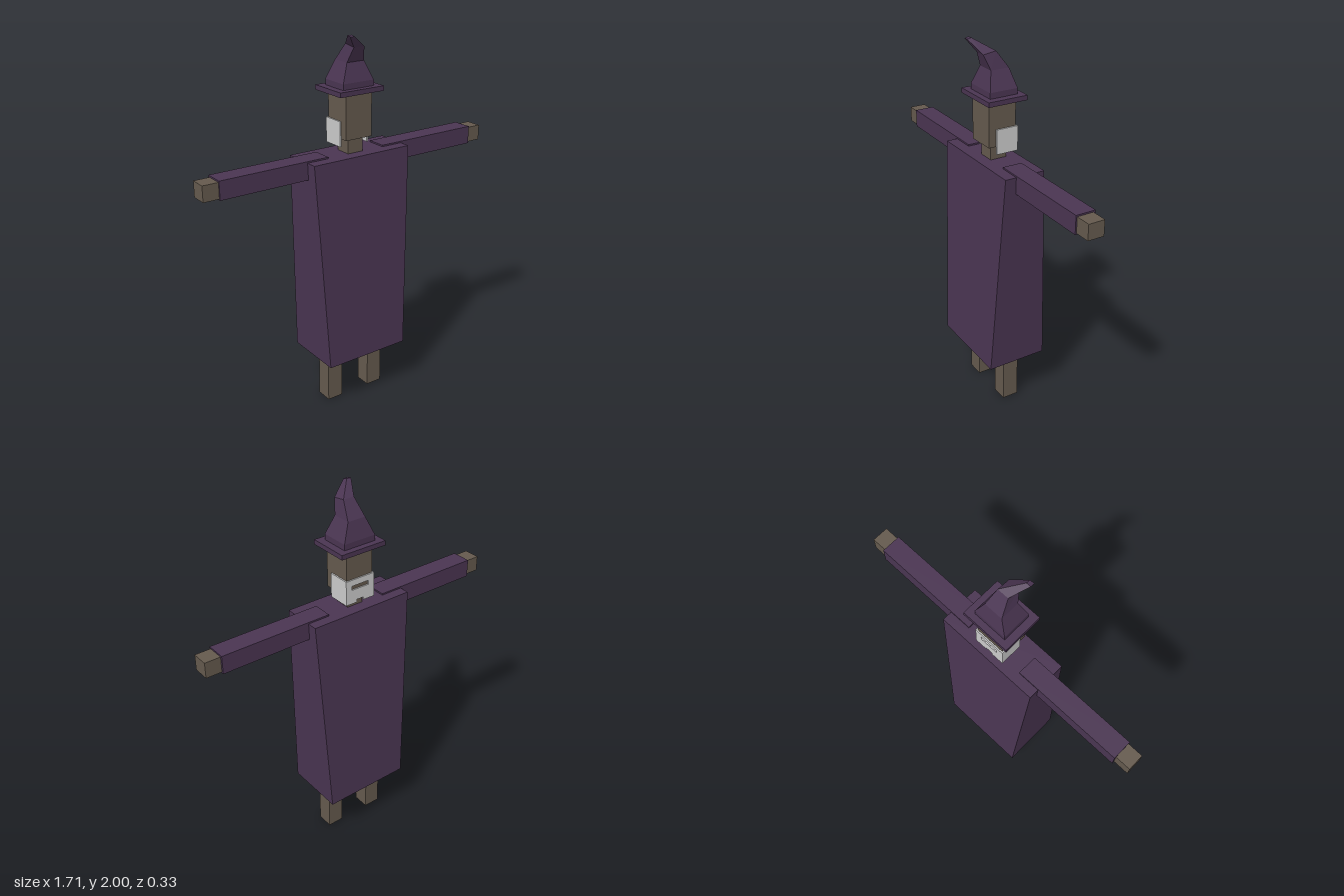
import * as THREE from 'three';

const material = (color) => new THREE.MeshStandardMaterial({ color, flatShading: true, side: THREE.DoubleSide });

// Skin of quads through four-cornered rings, each ring [[x, y, z] x 4] counter-clockwise seen from above
function loft(rings, capBottom, capTop) {
  const pos = [];
  const quad = (a, b, c, d) => pos.push(...a, ...b, ...c, ...a, ...c, ...d);
  for (let i = 0; i < rings.length - 1; i++) {
    for (let j = 0; j < 4; j++) {
      const k = (j + 1) % 4;
      quad(rings[i][j], rings[i][k], rings[i + 1][k], rings[i + 1][j]);
    }
  }
  if (capTop) quad(...rings[rings.length - 1]);
  if (capBottom) quad(...[...rings[0]].reverse());
  const geo = new THREE.BufferGeometry();
  geo.setAttribute('position', new THREE.Float32BufferAttribute(pos, 3));
  geo.computeVertexNormals();
  return geo;
}

// Rectangular ring; front and back edges may sit at different heights
const ring = (x0, x1, zBack, zFront, yBack, yFront = yBack) => [
  [x0, yFront, zFront], [x1, yFront, zFront], [x1, yBack, zBack], [x0, yBack, zBack],
];

export function createModel() {
  const model = new THREE.Group();
  const cloth = material(0x4a3552);
  const wood = material(0x655a4e);
  const bone = material(0xcccccc);

  const add = (name, geo, mat, parent = model) => {
    const mesh = new THREE.Mesh(geo, mat);
    mesh.name = name;
    parent.add(mesh);
    return mesh;
  };
  const block = (name, mat, x0, x1, y0, y1, z0, z1, parent) => {
    const mesh = add(name, new THREE.BoxGeometry(x1 - x0, y1 - y0, z1 - z0), mat, parent);
    mesh.position.set((x0 + x1) / 2, (y0 + y1) / 2, (z0 + z1) / 2);
    return mesh;
  };

  // Robe, open at the hem
  add('robe', loft([
    ring(-0.243, 0.243, -0.165, 0.165, 0.285),
    ring(-0.29, 0.29, -0.11, 0.11, 1.4),
  ], false, true), cloth);

  // Limbs, mirrored
  for (const [side, s] of [['left', 1], ['right', -1]]) {
    const span = (a, b) => (s > 0 ? [a, b] : [-b, -a]);
    block(side + 'Leg', wood, ...span(0.087, 0.178), 0, 0.7, -0.045, 0.045);
    block(side + 'Sleeve', cloth, ...span(0.168, 0.77), 1.312, 1.408, -0.056, 0.05);
    block(side + 'Hand', wood, ...span(0.76, 0.853), 1.318, 1.4, -0.045, 0.043);
  }

  // Head
  block('neck', wood, -0.045, 0.045, 1.38, 1.5, -0.045, 0.045);
  block('head', wood, -0.078, 0.078, 1.48, 1.715, -0.078, 0.075);

  // Mask wrapped around the back of the head: pierced plate and two cheeks
  const mask = new THREE.Group();
  mask.name = 'mask';
  model.add(mask);
  const plate = new THREE.Shape([
    [-0.086, 1.44], [-0.02, 1.44], [-0.02, 1.455], [0.02, 1.455], [0.02, 1.44],
    [0.086, 1.44], [0.086, 1.57], [-0.086, 1.57],
  ].map((p) => new THREE.Vector2(...p)));
  plate.holes.push(new THREE.Path([
    [-0.05, 1.515], [-0.05, 1.537], [0.05, 1.537], [0.05, 1.515],
  ].map((p) => new THREE.Vector2(...p))));
  const plateGeo = new THREE.ExtrudeGeometry(plate, { depth: 0.007, bevelEnabled: false });
  add('maskPlate', plateGeo, bone, mask).position.z = -0.087;
  for (const [side, x] of [['left', 0.0785], ['right', -0.086]]) {
    block(side + 'MaskCheek', bone, x, x + 0.0075, 1.44, 1.57, -0.081, 0.034, mask);
  }

  // Hat: brim and a crooked crown bending forward to one side
  block('hatBrim', cloth, -0.132, 0.13, 1.71, 1.735, -0.112, 0.106);
  add('hatCrown', loft([
    ring(-0.093, 0.09, -0.08, 0.074, 1.735),
    ring(-0.093, 0.09, -0.08, 0.074, 1.765),
    ring(-0.052, 0.05, -0.055, 0.046, 1.86),
    ring(-0.032, 0.03, 0.005, 0.075, 1.945, 1.935),
    ring(-0.08, -0.055, 0.09, 0.113, 2.0, 1.995),
  ], true, true), cloth);

  return model;
}
